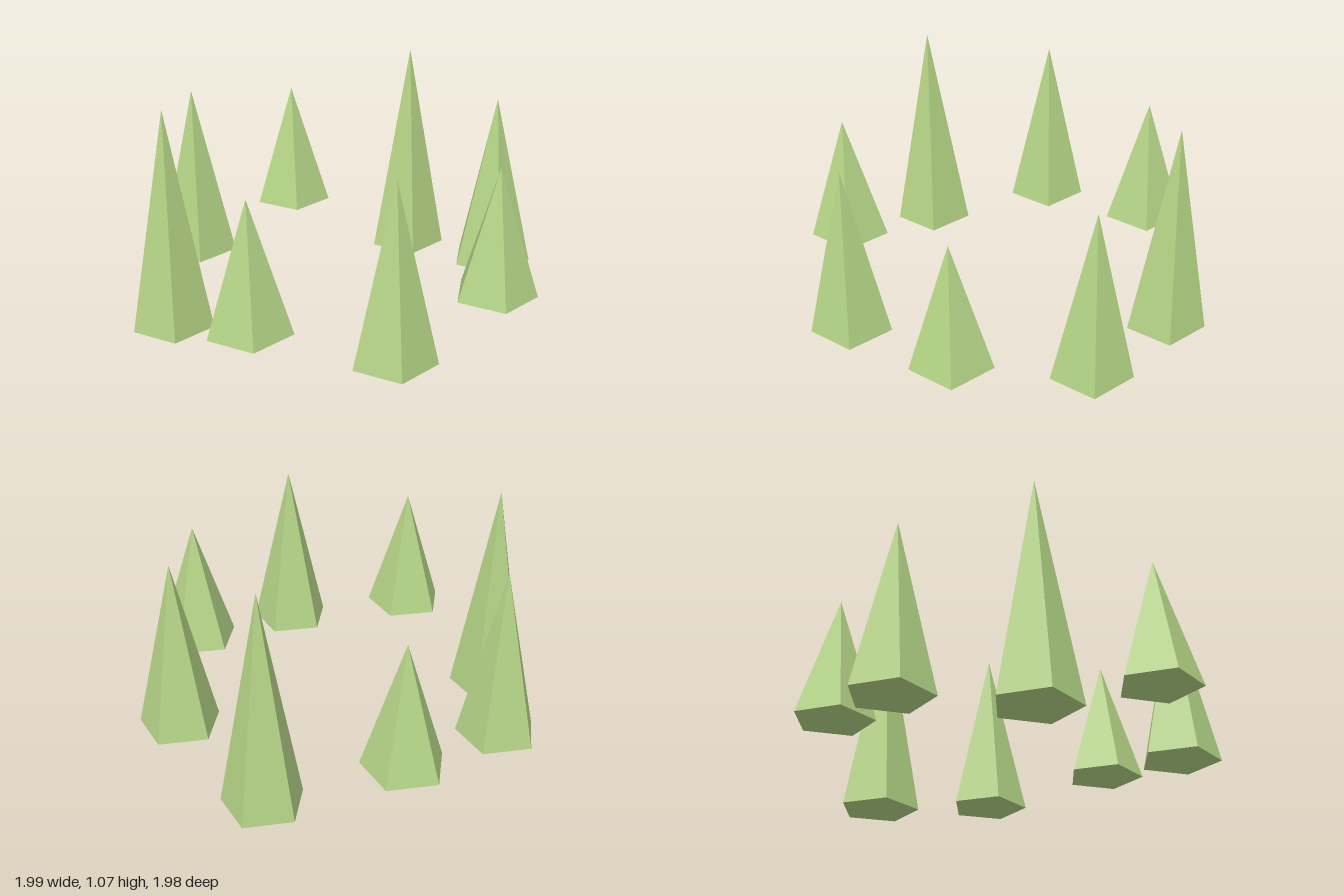
import * as THREE from 'three';

export function createModel() {
  const group = new THREE.Group();
  group.name = 'spikeRing';
  const green = new THREE.MeshStandardMaterial({ color: 0xb4d486 });
  green.name = 'leafGreen';

  const radius = 0.197, ringRadius = 0.81, zOffset = 0.017;
  // Three spike sizes: tall, medium and short, each starting higher up
  const sizes = [
    { name: 'tallSpike', base: 0, top: 1.065 },
    { name: 'mediumSpike', base: 0.113, top: 0.953 },
    { name: 'shortSpike', base: 0.227, top: 0.841 },
  ].map(({ name, base, top }) => {
    // Five-sided closed pyramid, one corner pointing to the back
    const cone = new THREE.ConeGeometry(radius, top - base, 5, 1);
    cone.rotateY(Math.PI);
    cone.translate(0, (base + top) / 2, 0);
    const geometry = cone.toNonIndexed();
    geometry.computeVertexNormals();
    return { name, geometry };
  });

  // Ring of eight, starting at +x and turning towards the front
  [2, 1, 2, 0, 1, 2, 0, 1].forEach((size, i) => {
    const angle = (i * Math.PI) / 4;
    const spike = new THREE.Mesh(sizes[size].geometry, green);
    spike.name = sizes[size].name + (i + 1);
    spike.position.set(Math.cos(angle) * ringRadius, 0, Math.sin(angle) * ringRadius + zOffset);
    group.add(spike);
  });
  return group;
}
